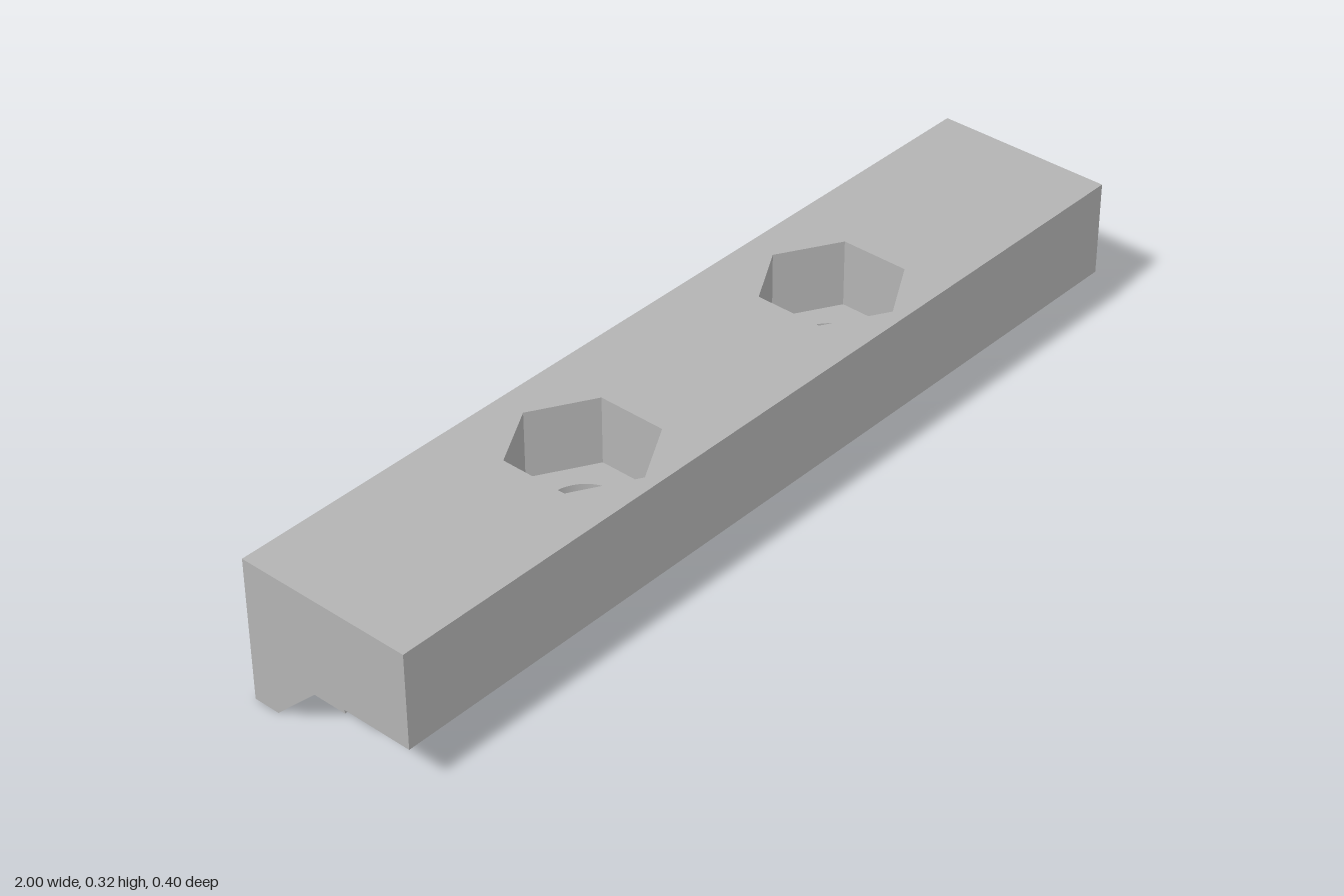
import * as THREE from 'three';

const TOP = 0.32, SEAT = 0.17;             // top face and floor of the nut pockets
const HOLE_X = 0.357, HOLE_Z = 0.018;      // hole centres at +-HOLE_X
const BORE_R = 0.081, HEX_R = 0.152, SEGMENTS = 48;

// Side profile as [z, y], from the front top edge, underneath, to the back top edge
const PROFILE = [
  [0.2, TOP], [0.2, 0.108], [0.04, 0.108], [0.04, 0.1],
  [-0.037, 0.1], [-0.14, 0], [-0.2, 0], [-0.2, TOP],
];

// Height of the underside at a given z
function undersideY(z) {
  if (z > 0.04) return 0.108;
  if (z > -0.037) return 0.1;
  return Math.max(0, 0.1 * (z + 0.14) / 0.103);
}

// Profile with extra rows where the round bores cut the underside
function profileRows() {
  const cuts = [];
  for (let k = 0; k <= SEGMENTS / 2; k++) {
    cuts.push(HOLE_Z + BORE_R * Math.cos(k * 2 * Math.PI / SEGMENTS));
  }
  const rows = [];
  PROFILE.forEach(([z, y], i) => {
    rows.push([z, y]);
    const next = PROFILE[i + 1];
    if (!next) return;
    for (const c of cuts) if (c < z && c > next[0]) rows.push([c, undersideY(c)]);
  });
  return rows;
}

// Front, underside and back as strips that leave the bores open
function shellGeometry() {
  const rows = profileRows().map(([z, y]) => {
    const w = Math.sqrt(Math.max(0, BORE_R ** 2 - (z - HOLE_Z) ** 2));
    return [-1, -HOLE_X - w, -HOLE_X + w, HOLE_X - w, HOLE_X + w, 1].map((x) => [x, y, z]);
  });
  const positions = [];
  for (let i = 0; i < rows.length - 1; i++) {
    for (let j = 0; j < 6; j += 2) {
      const a = rows[i][j], b = rows[i][j + 1], d = rows[i + 1][j], c = rows[i + 1][j + 1];
      positions.push(...a, ...d, ...c, ...a, ...c, ...b);
    }
  }
  const geometry = new THREE.BufferGeometry();
  geometry.setAttribute('position', new THREE.Float32BufferAttribute(positions, 3));
  geometry.computeVertexNormals();
  return geometry;
}

// Regular outline around a hole centre, drawn in x and -z
function outline(x, radius, sides, Type) {
  const points = [];
  for (let i = 0; i < sides; i++) {
    const a = i * 2 * Math.PI / sides;
    points.push(new THREE.Vector2(x + radius * Math.sin(a), -HOLE_Z + radius * Math.cos(a)));
  }
  return new Type(points);
}

const horizontal = (shape, y) =>
  new THREE.ShapeGeometry(shape).rotateX(-Math.PI / 2).translate(0, y, 0);

export function createModel() {
  const group = new THREE.Group();
  const metal = new THREE.MeshStandardMaterial({ color: 0xb3b3b3, side: THREE.DoubleSide });
  metal.name = 'grey metal';
  const add = (name, geometry) => {
    const mesh = new THREE.Mesh(geometry, metal);
    mesh.name = name;
    group.add(mesh);
  };

  add('barShell', shellGeometry());

  // Top face with the hexagonal openings
  const top = new THREE.Shape([[-1, -0.2], [1, -0.2], [1, 0.2], [-1, 0.2]]
    .map(([x, y]) => new THREE.Vector2(x, y)));
  for (const side of [-1, 1]) top.holes.push(outline(side * HOLE_X, HEX_R, 6, THREE.Path));
  add('topFace', horizontal(top, TOP));

  for (const side of [-1, 1]) {
    const name = side > 0 ? 'left' : 'right';
    const x = side * HOLE_X;

    // End face
    const end = new THREE.Shape(PROFILE.map(([z, y]) => new THREE.Vector2(-side * z, y)));
    add(name + 'EndFace',
      new THREE.ShapeGeometry(end).rotateY(side * Math.PI / 2).translate(side, 0, 0));

    // Hexagonal nut pocket
    const depth = TOP - SEAT;
    const hex = new THREE.CylinderGeometry(HEX_R, HEX_R, depth, 6, 1, true).toNonIndexed();
    hex.computeVertexNormals();
    add(name + 'PocketWalls', hex.translate(x, SEAT + depth / 2, HOLE_Z));

    const floor = outline(x, HEX_R, 6, THREE.Shape);
    floor.holes.push(outline(x, BORE_R, SEGMENTS, THREE.Path));
    add(name + 'PocketFloor', horizontal(floor, SEAT));

    // Round bore, its lower rim following the underside
    const bore = new THREE.CylinderGeometry(BORE_R, BORE_R, 1, SEGMENTS, 1, true)
      .translate(x, 0, HOLE_Z);
    const p = bore.attributes.position;
    for (let i = 0; i < p.count; i++) p.setY(i, p.getY(i) > 0 ? SEAT : undersideY(p.getZ(i)));
    add(name + 'Bore', bore);
  }
  return group;
}
